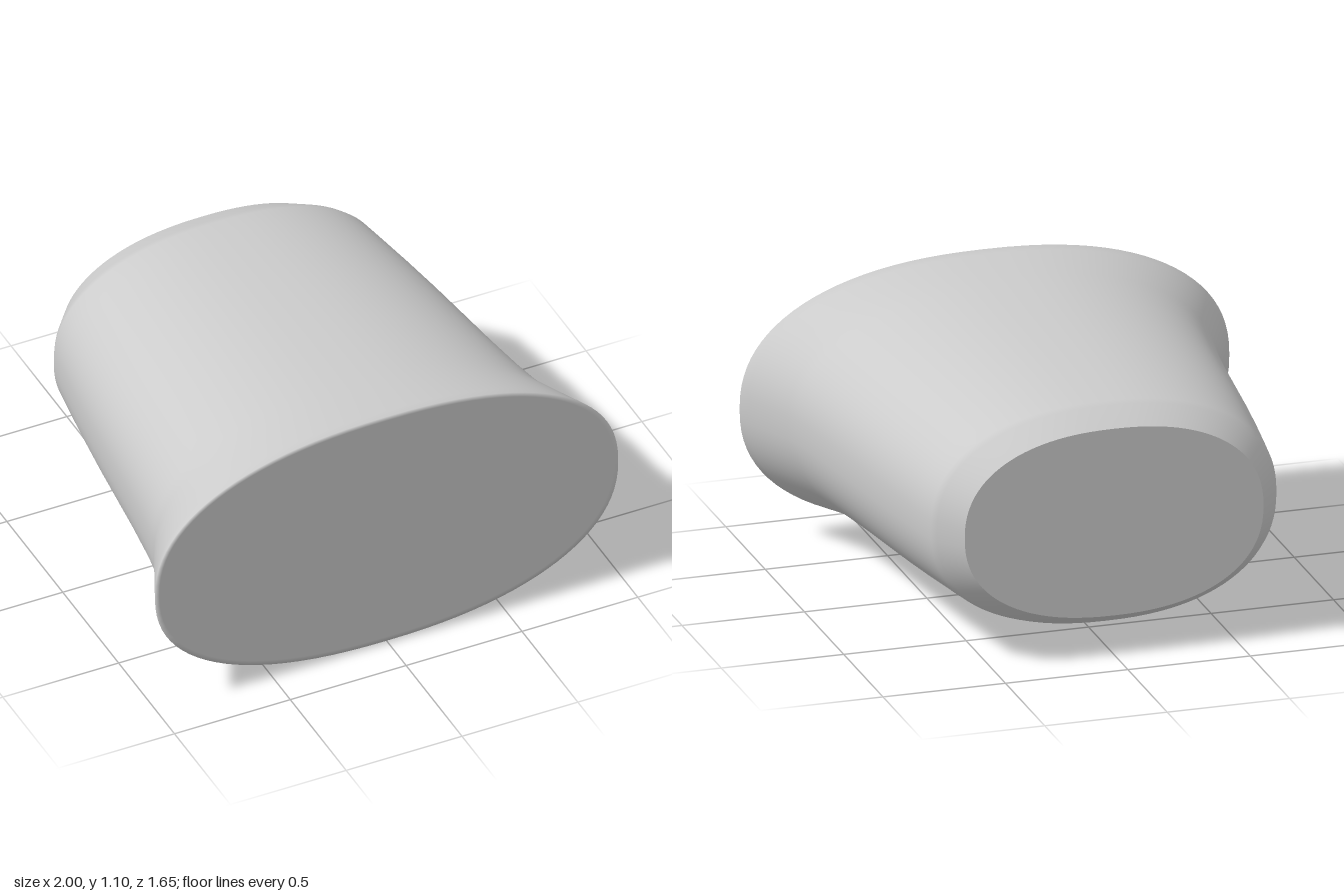
import * as THREE from 'three';

const SEGMENTS = 96;
const CENTRE_Y = 0.552;
const ROUNDNESS = 2.3; // superellipse exponent of every cross-section

// Stations from back to front: [z, half width, half height]
const STATIONS = [
  [-0.825, 0.61, 0.387], [-0.72, 0.69, 0.446], [-0.69, 0.706, 0.454],
  [-0.6, 0.72, 0.46], [-0.4, 0.749, 0.473], [-0.2, 0.775, 0.484],
  [0, 0.798, 0.493], [0.2, 0.821, 0.501], [0.4, 0.848, 0.51],
  [0.52, 0.87, 0.516], [0.58, 0.886, 0.52], [0.68, 0.933, 0.53],
  [0.785, 0.982, 0.544], [0.825, 1, 0.55], [0.825, 0.98, 0.53],
];

// Points of one superellipse cross-section, counter-clockwise
function section(a, b) {
  const power = (v) => Math.sign(v) * Math.abs(v) ** (2 / ROUNDNESS);
  return Array.from({ length: SEGMENTS }, (_, i) => {
    const t = (i / SEGMENTS) * Math.PI * 2;
    return new THREE.Vector2(a * power(Math.cos(t)), b * power(Math.sin(t)));
  });
}

// Smooth skin lofted through all stations
function loft(stations) {
  const positions = [];
  const index = [];
  stations.forEach(([z, a, b], i) => {
    for (const p of section(a, b)) positions.push(p.x, p.y, z);
    if (i === 0) return;
    for (let j = 0; j < SEGMENTS; j++) {
      const k = (j + 1) % SEGMENTS;
      const back = (i - 1) * SEGMENTS;
      const front = i * SEGMENTS;
      index.push(back + j, back + k, front + k, back + j, front + k, front + j);
    }
  });
  const geometry = new THREE.BufferGeometry();
  geometry.setAttribute('position', new THREE.Float32BufferAttribute(positions, 3));
  geometry.setIndex(index);
  geometry.computeVertexNormals();
  return geometry;
}

export function createModel() {
  const group = new THREE.Group();
  group.name = 'flaredOvalPlug';
  const material = new THREE.MeshStandardMaterial({ color: 0xcccccc });

  const add = (name, geometry) => {
    const mesh = new THREE.Mesh(geometry, material);
    mesh.name = name;
    mesh.position.y = CENTRE_Y;
    group.add(mesh);
    return mesh;
  };

  // Flat oval closing one end of the body
  const addCap = (name, [z, a, b]) => {
    const cap = add(name, new THREE.ShapeGeometry(new THREE.Shape(section(a, b))));
    cap.position.z = z;
    if (z < 0) cap.rotation.y = Math.PI;
  };

  // Flared body with a bevelled back and a softened front rim
  add('body', loft(STATIONS));
  addCap('backFace', STATIONS[0]);
  addCap('frontFace', STATIONS[STATIONS.length - 1]);

  return group;
}
